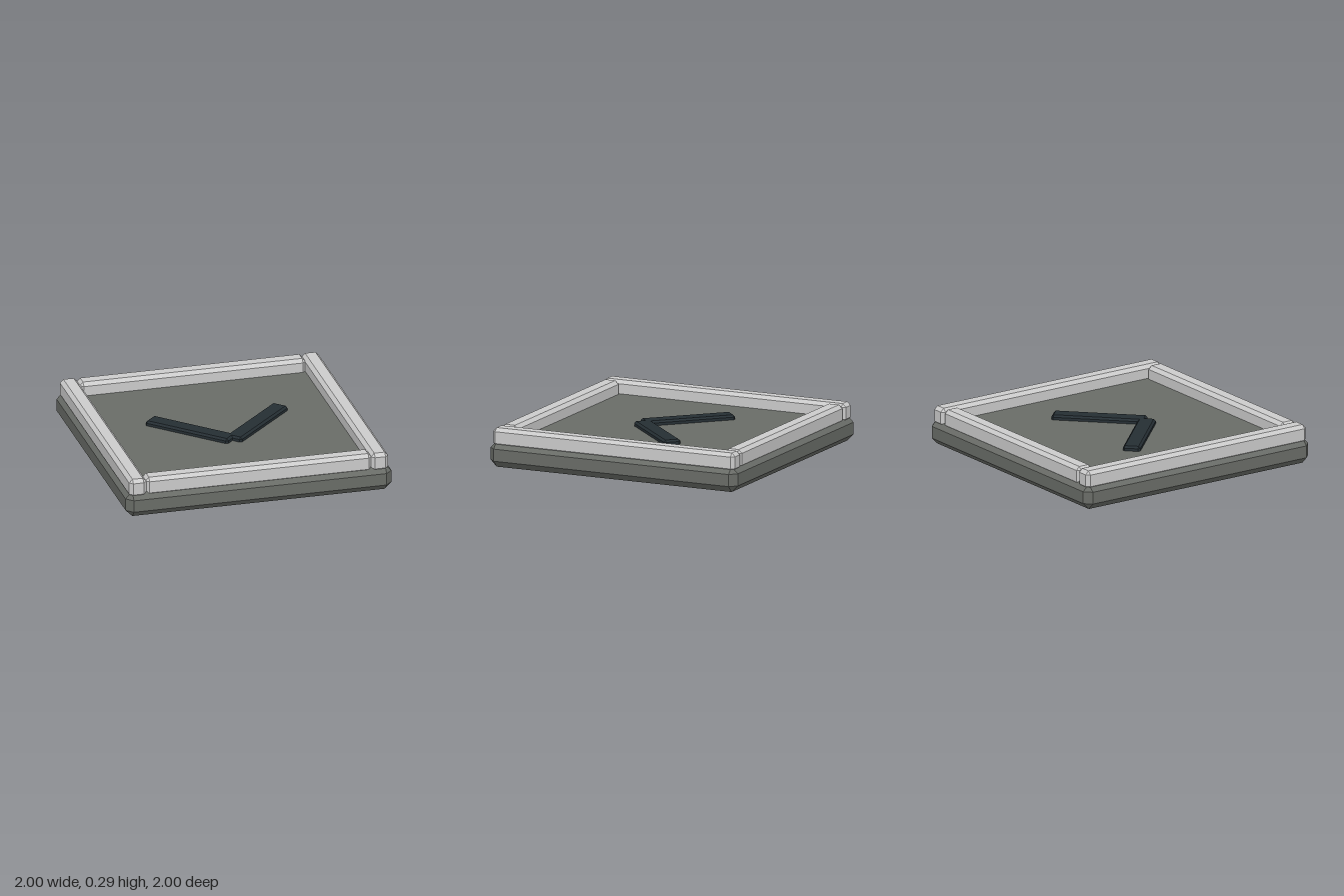
import * as THREE from 'three';
import { ConvexGeometry } from 'three/addons/geometries/ConvexGeometry.js';

// Box with every edge cut by a flat chamfer of width c
function chamferBox(w, h, d, c) {
  const points = [];
  for (const sx of [-1, 1]) for (const sy of [-1, 1]) for (const sz of [-1, 1]) {
    const x = w / 2, y = h / 2, z = d / 2;
    points.push(
      new THREE.Vector3(sx * x, sy * (y - c), sz * (z - c)),
      new THREE.Vector3(sx * (x - c), sy * y, sz * (z - c)),
      new THREE.Vector3(sx * (x - c), sy * (y - c), sz * z)
    );
  }
  return new ConvexGeometry(points);
}

export function createModel() {
  const group = new THREE.Group();
  const material = (color) => new THREE.MeshStandardMaterial({ color, flatShading: true });
  const baseMat = material(0x696c67);
  const railMat = material(0xcccccc);
  const arrowMat = material(0x252e33);

  const add = (name, geometry, mat, x, y, z) => {
    const mesh = new THREE.Mesh(geometry, mat);
    mesh.name = name;
    mesh.position.set(x, y, z);
    group.add(mesh);
    return mesh;
  };

  // Floor slab
  add('baseSlab', chamferBox(2, 0.19, 2, 0.05), baseMat, 0, 0.095, 0);

  // Raised border rails: long ones at the sides, shorter ones between them
  const sideRail = chamferBox(0.13, 0.14, 1.955, 0.026);
  const endRail = chamferBox(1.7, 0.14, 0.132, 0.026);
  for (const s of [-1, 1]) {
    add(s > 0 ? 'leftRail' : 'rightRail', sideRail, railMat, s * 0.909, 0.22, 0);
    add(s > 0 ? 'frontRail' : 'backRail', endRail, railMat, 0, 0.22, s * 0.905);
  }

  // Arrow of two bars pointing to the front
  const arm = chamferBox(0.69, 0.06, 0.13, 0.015);
  for (const s of [-1, 1]) {
    const bar = add(s > 0 ? 'leftArrowArm' : 'rightArrowArm', arm, arrowMat, s * 0.25, 0.195, -0.005);
    bar.rotation.y = s * Math.PI / 4;
  }

  return group;
}
